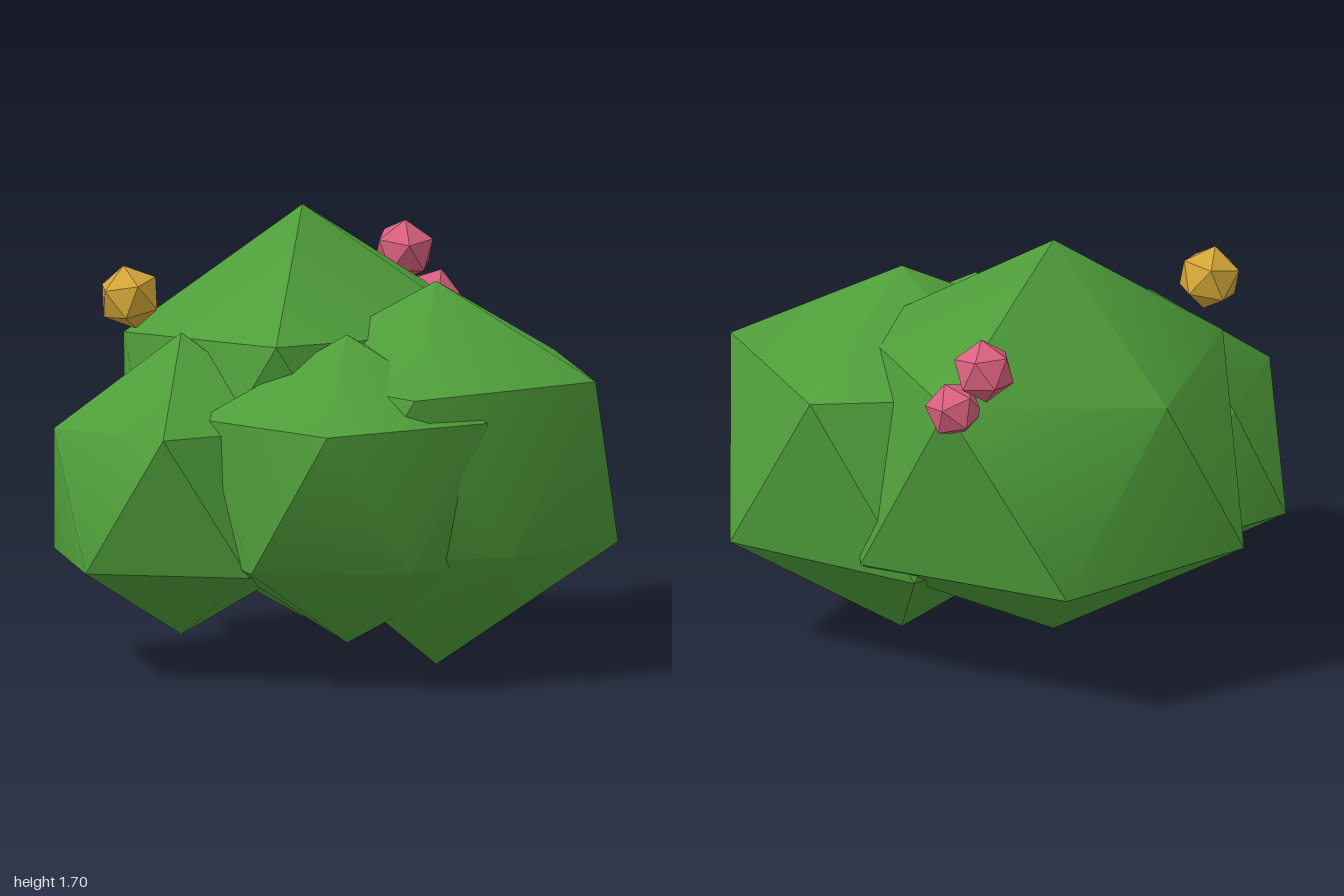
import * as THREE from 'three';
import { toCreasedNormals } from 'three/addons/utils/BufferGeometryUtils.js';

// Twenty-sided lump standing on a point; each corner has its own radial factor.
function lumpGeometry(radius, top, upper, lower, bottom) {
  const pts = [[0, radius * top, 0]];
  const ring = (factors, start, side) => factors.forEach((f, i) => {
    const a = (start + i * 72) * Math.PI / 180;
    const r = radius * f;
    pts.push([0.894 * r * Math.cos(a), 0.447 * r * side, 0.894 * r * Math.sin(a)]);
  });
  ring(upper, 0, 1);
  ring(lower, 36, -1);
  pts.push([0, -radius * bottom, 0]);

  const index = [];
  for (let i = 0; i < 5; i++) {
    const j = (i + 1) % 5;
    const u0 = 1 + i, u1 = 1 + j, l0 = 6 + i, l1 = 6 + j;
    index.push(0, u1, u0, u0, u1, l0, l0, u1, l1, 11, l0, l1);
  }
  const geometry = new THREE.BufferGeometry();
  geometry.setAttribute('position', new THREE.Float32BufferAttribute(pts.flat(), 3));
  geometry.setIndex(index);
  return geometry;
}

export function createModel() {
  const group = new THREE.Group();
  group.name = 'floweringBush';

  const material = (name, color) => {
    const m = new THREE.MeshStandardMaterial({ color });
    m.name = name;
    return m;
  };
  const leafGreen = material('leafGreen', 0x4f9e3a);
  const blossomPink = material('blossomPink', 0xd9607f);
  const blossomGold = material('blossomGold', 0xd4a638);

  const add = (name, geometry, mat, position) => {
    const mesh = new THREE.Mesh(geometry, mat);
    mesh.name = name;
    mesh.position.set(...position);
    group.add(mesh);
    return mesh;
  };

  // Overlapping foliage lumps: gentle edges smooth, strong edges sharp
  const foliage = [
    ['frontFoliage', [0.23, 0.805, 0.36], 0.75, 0.9,
      [0.98, 1, 0.95, 1, 1], [1.05, 0.9, 1, 1, 1.04], 1.07],
    ['backFoliage', [0.18, 0.89, -0.29], 0.86, 0.95,
      [1, 1, 1.03, 0.9, 0.87], [1.03, 1, 1, 0.97, 0.96], 0.9],
    ['frontRightFoliage', [-0.2, 0.725, 0.3], 0.66, 0.9,
      [1, 1, 1, 0.97, 1], [1, 0.86, 0.9, 1, 1], 0.9],
    ['backRightFoliage', [-0.47, 0.69, -0.31], 0.6, 1,
      [1, 1, 1.02, 0.92, 0.94], [1, 1, 0.99, 1, 1], 0.94],
  ];
  for (const [name, position, ...shape] of foliage) {
    add(name, toCreasedNormals(lumpGeometry(...shape), 0.7), leafGreen, position);
  }

  // Small faceted blossoms
  const even = [1, 1, 1, 1, 1];
  const blossoms = [
    ['goldBlossom', blossomGold, [-0.47, 1.395, -0.58], 0.125, [-0.2, 0.5, 0.2]],
    ['upperPinkBlossom', blossomPink, [0.87, 1.43, -0.41], 0.122, [0.12, 0.3, 0.1]],
    ['lowerPinkBlossom', blossomPink, [0.9, 1.26, -0.295], 0.112, [0.3, 0.2, -0.25]],
  ];
  for (const [name, mat, position, radius, tilt] of blossoms) {
    const geometry = lumpGeometry(radius, 1, even, even, 1).toNonIndexed();
    geometry.computeVertexNormals();
    add(name, geometry, mat, position).rotation.set(...tilt);
  }

  return group;
}
